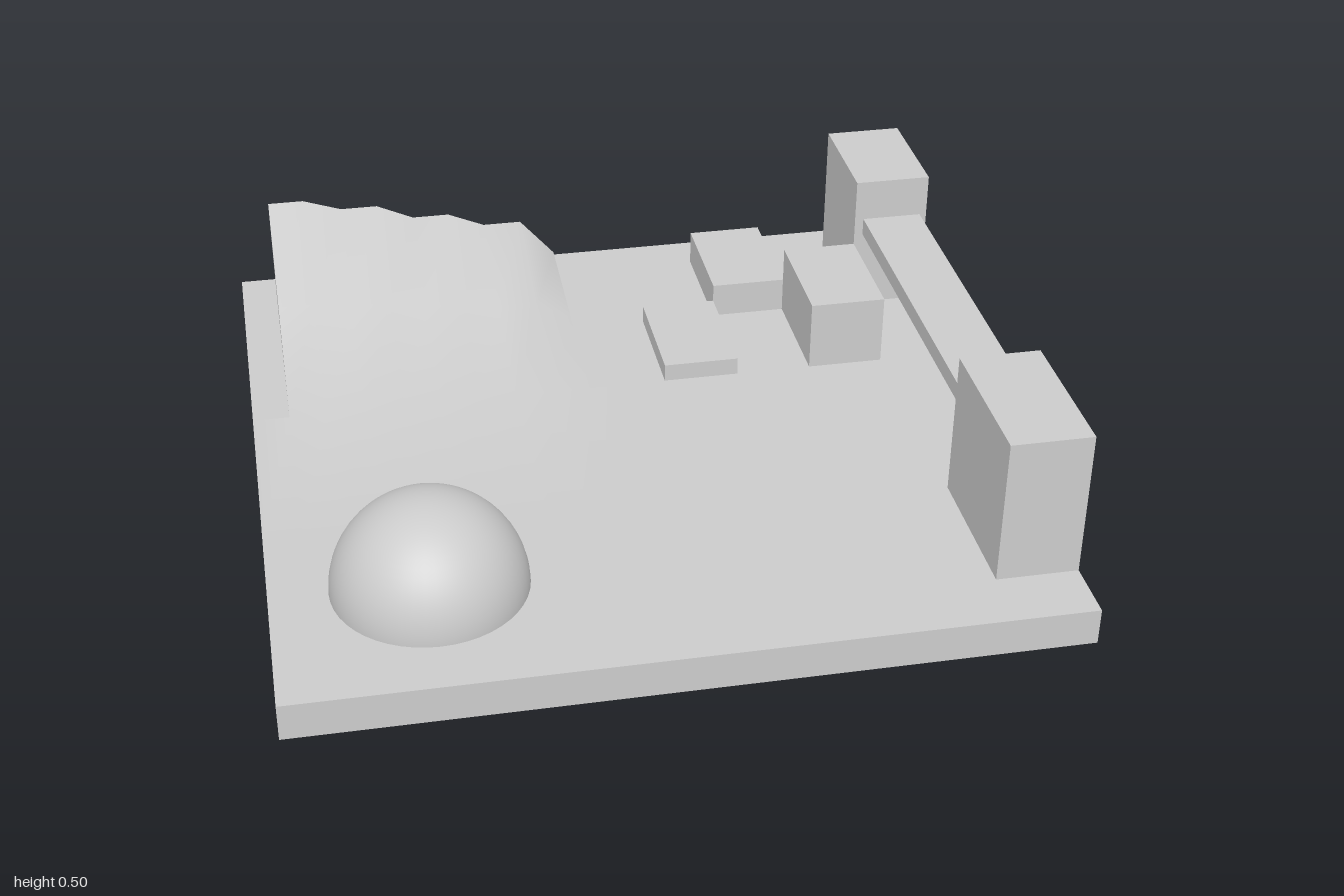
import * as THREE from 'three';

const FLOOR = 0.1;
const material = new THREE.MeshStandardMaterial({ color: 0xcccccc, side: THREE.DoubleSide });

function makeMesh(name, geometry) {
  const mesh = new THREE.Mesh(geometry, material);
  mesh.name = name;
  return mesh;
}

function surface(positions, index) {
  const g = new THREE.BufferGeometry();
  g.setAttribute('position', new THREE.Float32BufferAttribute(positions, 3));
  g.setIndex(index);
  g.computeVertexNormals();
  return g;
}

// Box from its limits; faces in "open" are left out (2 = top, 3 = bottom)
function box(x0, x1, y0, y1, z0, z1, open = []) {
  const g = new THREE.BoxGeometry(x1 - x0, y1 - y0, z1 - z0);
  g.setIndex(Array.from(g.index.array).filter((_, i) => !open.includes(Math.floor(i / 6))));
  return g.translate((x0 + x1) / 2, (y0 + y1) / 2, (z0 + z1) / 2);
}

// Upright wall from the floor to a line of top points
function wall(tops) {
  const pos = [], idx = [];
  tops.forEach(([x, y, z], i) => {
    pos.push(x, FLOOR, z, x, y, z);
    if (i) {
      const a = 2 * i - 2;
      idx.push(a, a + 2, a + 1, a + 1, a + 2, a + 3);
    }
  });
  return surface(pos, idx);
}

// Hollow blocks: name, x0, x1, z0, z1, top
const blocks = [
  ['lowStep', 0.155, 0.365, -0.55, -0.22, 0.15],
  ['middleStep', 0.365, 0.575, -0.88, -0.55, 0.2],
  ['highStep', 0.575, 0.785, -0.55, -0.22, 0.3],
  ['backTower', 0.785, 1, -0.88, -0.55, 0.5],
  ['frontTower', 0.785, 1, 0.43, 0.835, 0.5],
];

// Ridge of the slope: x, height
const ridge = [
  [-0.9, 0.42], [-0.8, 0.42], [-0.69, 0.383], [-0.585, 0.383], [-0.48, 0.335],
  [-0.375, 0.335], [-0.27, 0.29], [-0.16, 0.29], [-0.06, 0.175],
];
const BACK = -0.88, FOOT = -0.22, APRON = 0.35;

// Floor tiles, leaving out the areas under the blocks and the slope
function floorGeometry() {
  const holes = blocks.map(b => b.slice(1, 5));
  holes.push([-0.9, -0.06, BACK, FOOT], [-1, 0.05, FOOT, APRON]);
  const breaks = k => [...new Set([-1, 1, ...holes.flatMap(h => [h[k], h[k + 1]])])].sort((a, b) => a - b);
  const xs = breaks(0), zs = breaks(2);
  const pos = [], idx = [];
  for (let i = 0; i < xs.length - 1; i++) {
    for (let j = 0; j < zs.length - 1; j++) {
      const cx = (xs[i] + xs[i + 1]) / 2, cz = (zs[j] + zs[j + 1]) / 2;
      if (holes.some(h => cx > h[0] && cx < h[1] && cz > h[2] && cz < h[3])) continue;
      const n = pos.length / 3;
      for (const z of [zs[j], zs[j + 1]]) pos.push(xs[i], FLOOR, z, xs[i + 1], FLOOR, z);
      idx.push(n, n + 2, n + 1, n + 1, n + 2, n + 3);
    }
  }
  return surface(pos, idx);
}

// Slope falling from the ridge to the floor, blending into a flat apron
function slopeGeometry() {
  const columns = [[-1, FLOOR], ...ridge, [0.05, FLOOR]];
  const rows = [BACK, -0.55, FOOT, APRON];
  const pos = [], idx = [], n = columns.length;
  rows.forEach((z, j) => columns.forEach(([x, h], i) => {
    const fall = Math.max(0, (FOOT - z) / (FOOT - BACK));
    pos.push(x, FLOOR + (h - FLOOR) * fall, z);
    const outside = j < 3 && (i === 1 || i === n - 1);
    if (!i || !j || outside) return;
    const a = (j - 1) * n + i - 1;
    idx.push(a, a + n, a + 1, a + 1, a + n, a + n + 1);
  }));
  return surface(pos, idx);
}

export function createModel() {
  const model = new THREE.Group();

  // Hollow base
  model.add(makeMesh('baseRim', box(-1, 1, 0, FLOOR, -1, 1, [2, 3])));
  model.add(makeMesh('floor', floorGeometry()));

  // Steps and towers, open underneath
  for (const [name, x0, x1, z0, z1, top] of blocks) {
    model.add(makeMesh(name, box(x0, x1, FLOOR, top, z0, z1, [3])));
  }

  // Beam between the towers
  model.add(makeMesh('bridgeBeam', box(0.81, 0.98, 0.33, 0.38, -0.55, 0.43)));

  // Hill with upright back and sides
  const hill = new THREE.Group();
  hill.name = 'hill';
  const first = ridge[0], last = ridge[ridge.length - 1];
  hill.add(makeMesh('hillSlope', slopeGeometry()));
  hill.add(makeMesh('hillBack', wall(ridge.map(([x, y]) => [x, y, BACK]).reverse())));
  hill.add(makeMesh('hillRightSide', wall([[first[0], first[1], BACK], [first[0], FLOOR, FOOT]])));
  hill.add(makeMesh('hillLeftSide', wall([[last[0], FLOOR, FOOT], [last[0], last[1], BACK]])));
  model.add(hill);

  // Dome
  const dome = makeMesh('dome', new THREE.SphereGeometry(0.25, 48, 16, 0, Math.PI * 2, 0, Math.PI / 2));
  dome.position.set(-0.6, FLOOR, 0.6);
  model.add(dome);

  return model;
}
